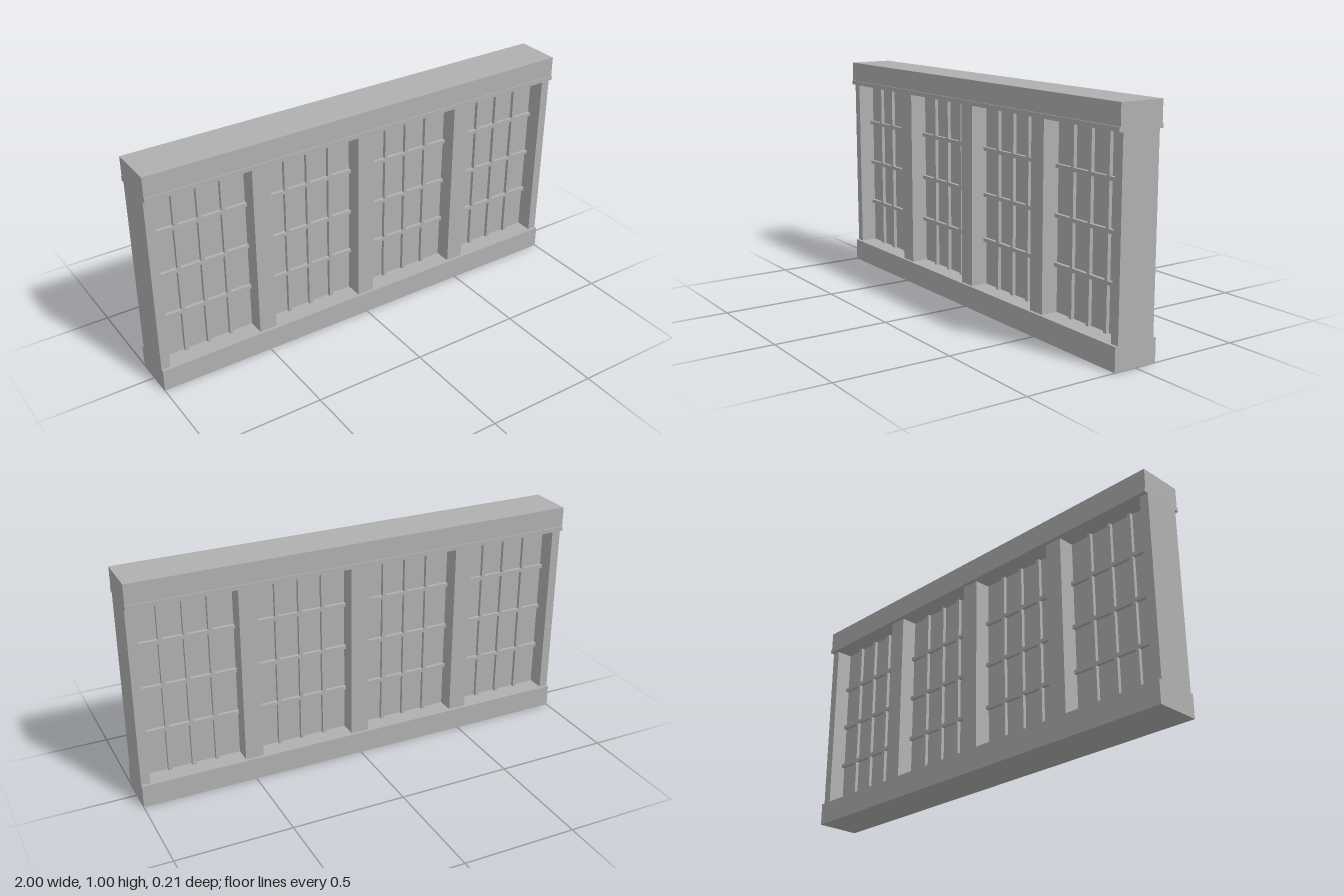
import * as THREE from 'three';

export function createModel() {
  const group = new THREE.Group();
  group.name = 'latticeWall';
  const grey = new THREE.MeshStandardMaterial({ color: 0xb0b0b0 });
  grey.name = 'plain grey';

  // box given by its centre x, bottom and top y, width and depth, centred on z
  const box = (name, x, y0, y1, w, d) => {
    const mesh = new THREE.Mesh(new THREE.BoxGeometry(w, y1 - y0, d), grey);
    mesh.name = name;
    mesh.position.set(x, (y0 + y1) / 2, 0);
    group.add(mesh);
  };

  const low = 0.1, high = 0.893;

  // beams and the thin moulding under the top one
  box('baseBeam', 0, 0, low, 2, 0.2);
  box('topBeam', 0, high, 1, 2, 0.2);
  box('moulding', 0, high, 0.912, 2, 0.21);

  // narrow posts at the ends, wide posts between the bays
  for (const side of [-1, 1]) box('endPost', side * 0.98, low, high, 0.04, 0.174);
  for (const x of [-0.5, 0, 0.5]) box('post', x, low, high, 0.08, 0.174);

  // four recessed panels, each with a grid of bars on both faces
  const bar = 0.016, barDepth = 0.056;
  for (const x of [-0.75, -0.25, 0.25, 0.75]) {
    box('panel', x, low, high, 0.42, 0.025);
    for (const dx of [-0.105, 0, 0.105]) box('verticalBar', x + dx, low, high, bar, barDepth);
    for (const y of [0.3, 0.5, 0.7]) {
      // short pieces that butt against the vertical bars
      for (const dx of [-0.1615, -0.0525, 0.0525, 0.1615]) {
        box('horizontalBar', x + dx, y - bar / 2, y + bar / 2, Math.abs(dx) > 0.1 ? 0.097 : 0.089, barDepth);
      }
    }
  }
  return group;
}
